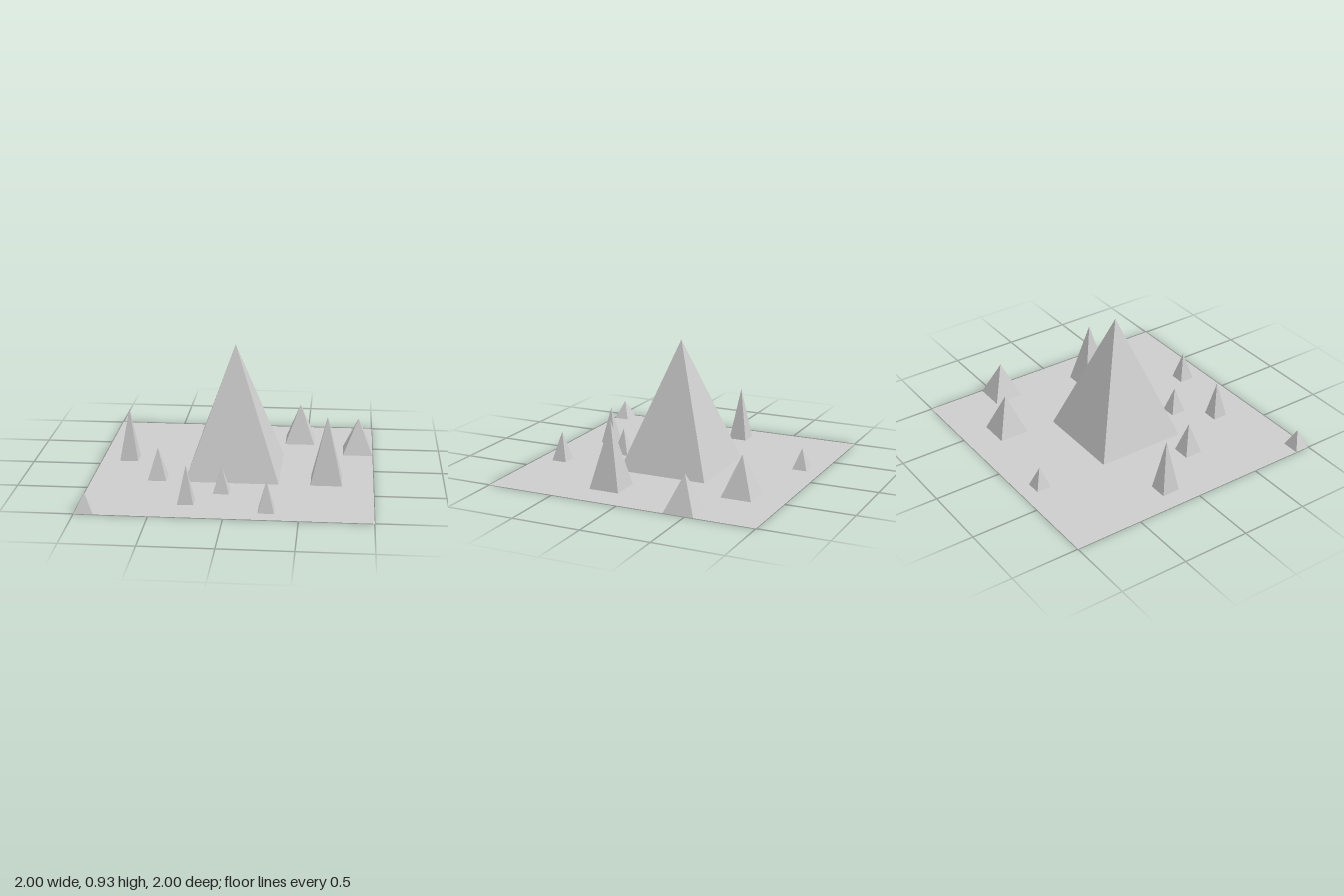
import * as THREE from 'three';

// Pyramid footprints: x min, x max, z min, z max, height
const PYRAMIDS = [
  ['mainPyramid', -0.333, 0.333, -0.339, 0.328, 0.93],
  ['backLeftPyramid', 0.335, 0.557, -0.783, -0.561, 0.29],
  ['leftEdgePyramid', 0.779, 1, -0.561, -0.34, 0.257],
  ['leftSpire', 0.557, 0.779, 0.106, 0.328, 0.476],
  ['rightSpire', -0.867, -0.733, -0.207, -0.074, 0.39],
  ['rightSmallPyramid', -0.6, -0.467, 0.195, 0.328, 0.229],
  ['backSmallPyramid', -0.333, -0.222, -0.893, -0.783, 0.15],
  ['frontInnerPyramid', -0.111, 0, 0.44, 0.552, 0.19],
  ['frontMiddlePyramid', -0.333, -0.222, 0.663, 0.775, 0.268],
  ['frontLeftPyramid', 0.222, 0.333, 0.775, 0.887, 0.214],
  ['cornerPyramid', -1, -0.867, 0.887, 1, 0.133],
];

export function createModel() {
  const group = new THREE.Group();
  const grey = new THREE.MeshStandardMaterial({ color: 0xcccccc, side: THREE.DoubleSide });
  grey.name = 'light grey';

  const add = (name, geometry) => {
    const mesh = new THREE.Mesh(geometry, grey);
    mesh.name = name;
    group.add(mesh);
  };
  const points = (list) => list.map(([x, z]) => new THREE.Vector2(x, -z));

  // Ground sheet, notched where a pyramid meets its border
  const ground = new THREE.Shape(points([
    [-1, -1], [1, -1], [1, -0.561], [0.779, -0.561], [0.779, -0.34], [1, -0.34],
    [1, 1], [-0.867, 1], [-0.867, 0.887], [-1, 0.887],
  ]));

  for (const [name, x0, x1, z0, z1, h] of PYRAMIDS) {
    // Hollow four-sided pyramid, open underneath
    const pyramid = new THREE.ConeGeometry(Math.SQRT1_2, 1, 4, 1, true)
      .rotateY(Math.PI / 4)
      .translate(0, 0.5, 0)
      .scale(x1 - x0, h, z1 - z0)
      .translate((x0 + x1) / 2, 0, (z0 + z1) / 2)
      .toNonIndexed();
    pyramid.computeVertexNormals();
    add(name, pyramid);

    // Matching opening in the ground
    if (x0 > -1 && x1 < 1) {
      ground.holes.push(new THREE.Path(points([[x0, z0], [x0, z1], [x1, z1], [x1, z0]])));
    }
  }

  add('ground', new THREE.ShapeGeometry(ground).rotateX(-Math.PI / 2));
  return group;
}
